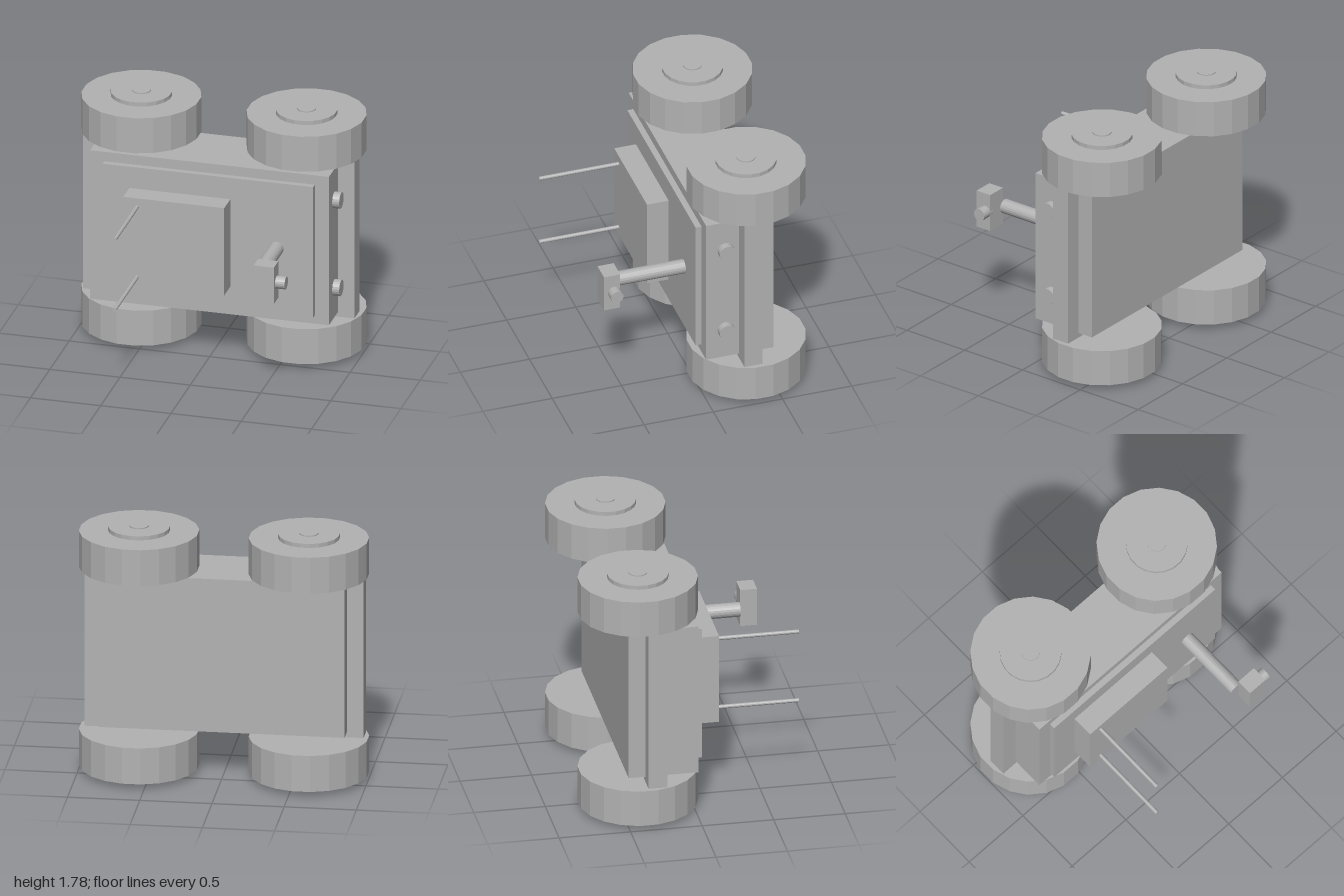
import * as THREE from 'three';

const grey = new THREE.MeshStandardMaterial({ color: 0xb2b2b2 });
grey.name = 'plain grey';
grey.flatShading = true;

const SIDES = 20;

export function createModel() {
  const model = new THREE.Group();
  model.name = 'rover';

  // Box given by its lower and upper limits on each axis
  function box(name, [x0, x1], [y0, y1], [z0, z1]) {
    const mesh = new THREE.Mesh(new THREE.BoxGeometry(x1 - x0, y1 - y0, z1 - z0), grey);
    mesh.position.set((x0 + x1) / 2, (y0 + y1) / 2, (z0 + z1) / 2);
    mesh.name = name;
    model.add(mesh);
  }

  // Cylinder along one axis, centred at (x, y, z)
  function rod(name, axis, radius, length, x, y, z, parent = model) {
    const geometry = new THREE.CylinderGeometry(radius, radius, length, SIDES);
    geometry.rotateY(Math.PI / SIDES);
    if (axis === 'x') geometry.rotateZ(-Math.PI / 2);
    if (axis === 'z') geometry.rotateX(Math.PI / 2);
    const mesh = new THREE.Mesh(geometry, grey);
    mesh.position.set(x, y, z);
    mesh.name = name;
    parent.add(mesh);
  }

  // Hull with the raised deck and equipment box on its front face
  box('hull', [-0.85, 0.85], [0.337, 1.45], [-0.485, 0.003]);
  box('deckPanel', [-0.75, 0.75], [0.4, 1.38], [0, 0.046]);
  box('equipmentBox', [-0.56, 0.16], [0.565, 1.22], [0.04, 0.203]);

  // Axle beams and wheels
  for (const side of [-1, 1]) {
    const beam = [0.803, 0.966].map((x) => x * side).sort((a, b) => a - b);
    box('axleBeam', beam, [0.3, 1.483], [-0.368, -0.236]);
    for (const end of [-1, 1]) {
      const wheel = new THREE.Group();
      wheel.name = 'wheel';
      wheel.position.set(side * 0.588, 0.89 + end * 0.722, -0.371);
      rod('tyre', 'y', 0.414, 0.262, 0, 0, 0, wheel);
      rod('hub', 'y', 0.212, 0.08, 0, end * 0.12, 0, wheel);
      rod('hubCap', 'y', 0.065, 0.08, 0, end * 0.128, 0, wheel);
      model.add(wheel);
    }
  }

  // Antennas on the box, lamps on the left end
  for (const y of [0.63, 1.155]) rod('antenna', 'z', 0.014, 0.6, -0.462, y, 0.478);
  for (const y of [0.563, 1.22]) rod('lamp', 'x', 0.058, 0.08, 0.86, y, -0.138);

  // Mast with the camera head
  rod('mast', 'z', 0.051, 0.52, 0.488, 0.89, 0.288);
  box('cameraHead', [0.498, 0.642], [0.755, 1.03], [0.555, 0.672]);
  rod('lens', 'x', 0.045, 0.1, 0.66, 0.892, 0.598);

  return model;
}
